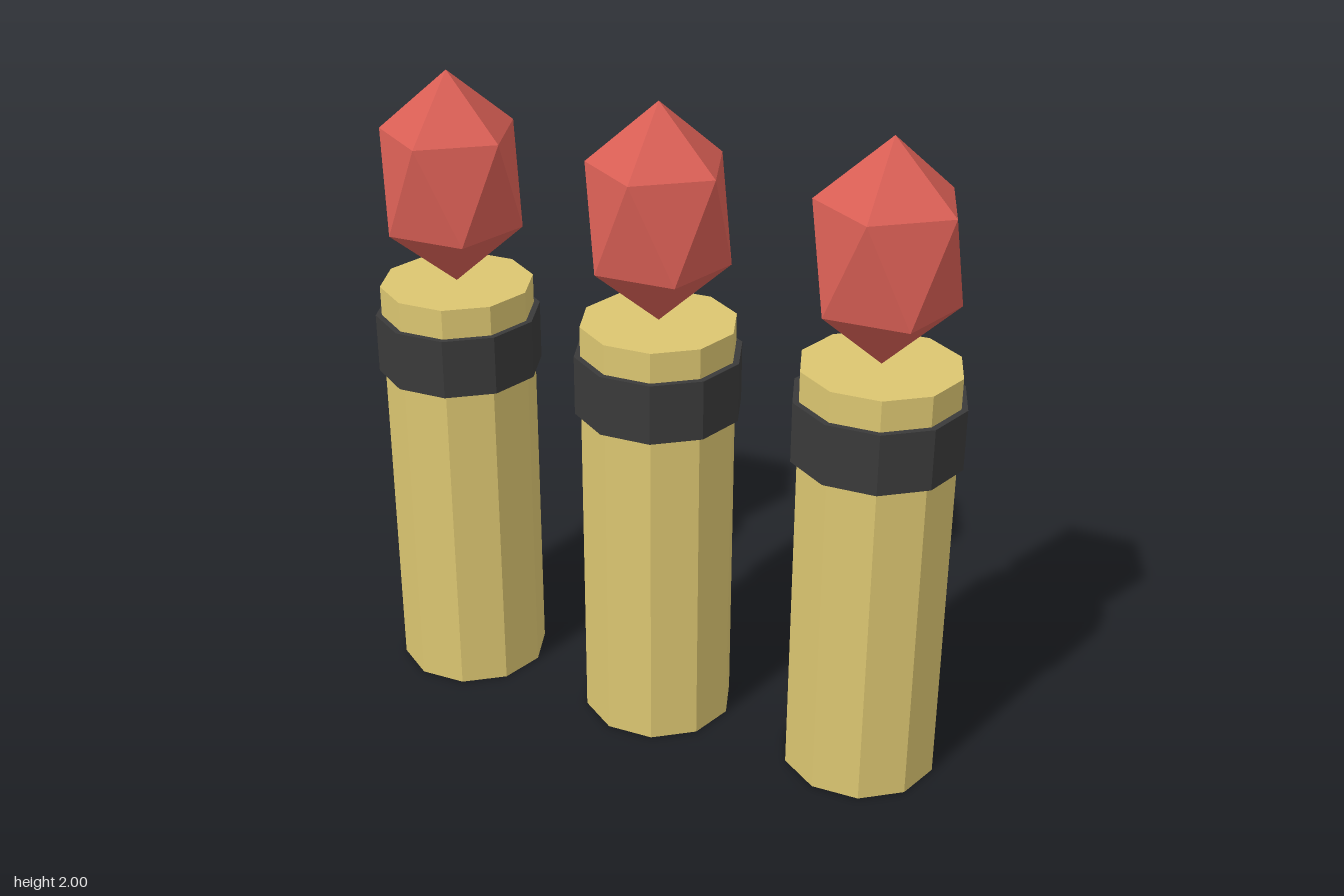
import * as THREE from 'three';

const SIDES = 10;

function part(name, geometry, color, y) {
  const material = new THREE.MeshStandardMaterial({ color, flatShading: true });
  const mesh = new THREE.Mesh(geometry, material);
  mesh.name = name;
  mesh.position.y = y;
  return mesh;
}

// Icosahedron standing on a corner, stretched upwards
function flameGeometry(radius, halfHeight) {
  const golden = (1 + Math.sqrt(5)) / 2;
  return new THREE.IcosahedronGeometry(1, 0)
    .rotateZ(-Math.atan(1 / golden))
    .scale(radius, halfHeight, radius);
}

function createCandle() {
  const candle = new THREE.Group();
  candle.add(
    part('wax', new THREE.CylinderGeometry(0.237, 0.237, 1.333, SIDES), 0xdcc671, 0.6665),
    part('band', new THREE.CylinderGeometry(0.256, 0.256, 0.187, SIDES), 0x3a3a3a, 1.146),
    part('flame', flameGeometry(0.237, 0.3325), 0xd95f55, 1.6675),
  );
  return candle;
}

export function createModel() {
  const model = new THREE.Group();
  model.name = 'candles';
  // Three candles in a diagonal row
  ['rightCandle', 'middleCandle', 'leftCandle'].forEach((name, i) => {
    const candle = createCandle();
    candle.name = name;
    candle.position.set((i - 1) * 0.667, 0, (1 - i) * 0.19);
    model.add(candle);
  });
  return model;
}
